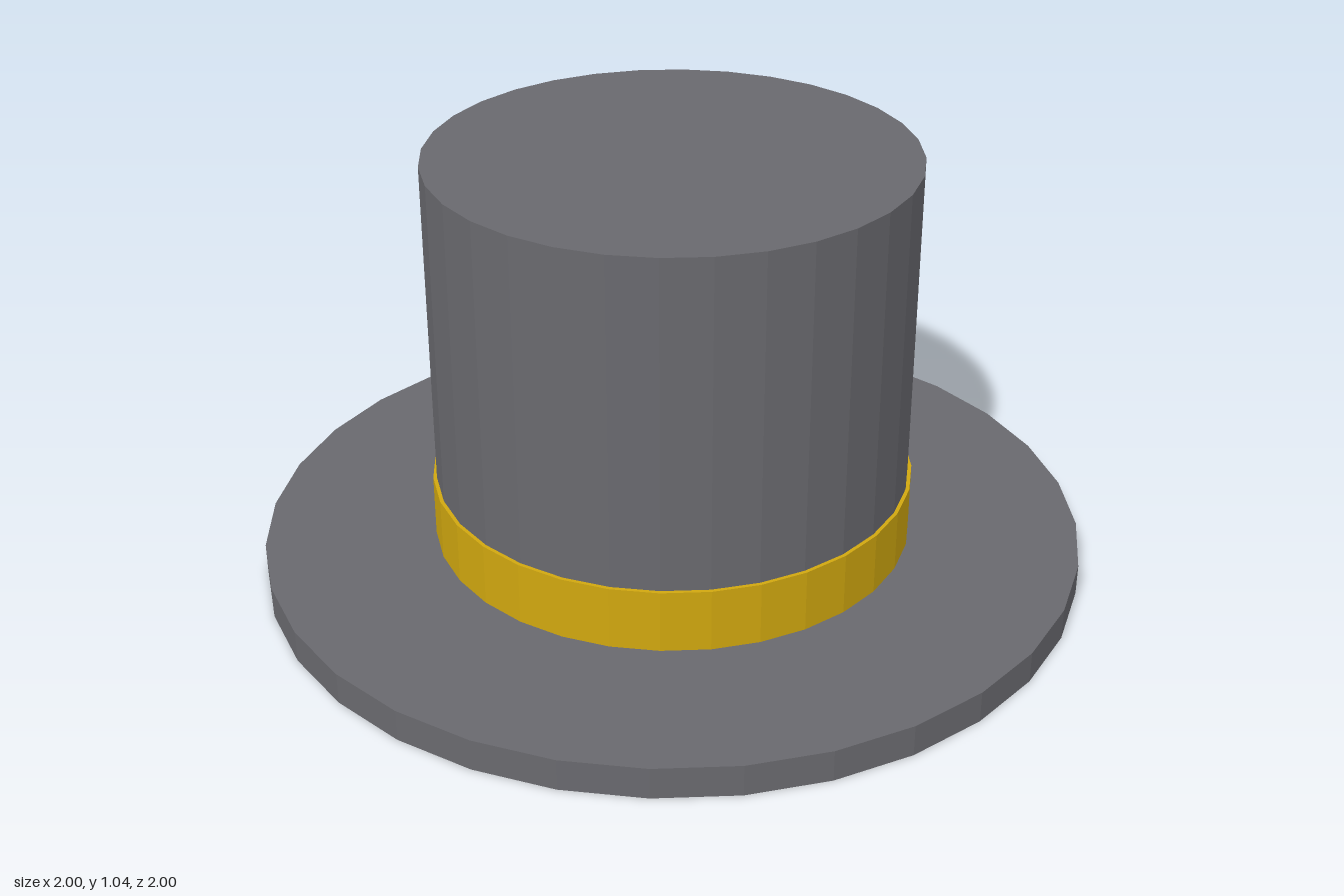
import * as THREE from 'three';

const SIDES = 32;

export function createModel() {
  const felt = new THREE.MeshStandardMaterial({ color: 0x69696e });
  felt.name = 'grey felt';
  felt.flatShading = true;
  const gold = new THREE.MeshStandardMaterial({ color: 0xd0a70f });
  gold.name = 'gold ribbon';
  gold.flatShading = true;

  const hat = new THREE.Group();
  hat.name = 'topHat';

  // Adds an upright disc or drum between two heights
  const addDrum = (name, radius, bottom, top, material) => {
    const geometry = new THREE.CylinderGeometry(radius, radius, top - bottom, SIDES);
    const mesh = new THREE.Mesh(geometry, material);
    mesh.name = name;
    mesh.position.y = (bottom + top) / 2;
    hat.add(mesh);
  };

  addDrum('brim', 1, 0, 0.077, felt);
  addDrum('crown', 0.577, 0.077, 1.038, felt);
  // Ribbon wrapped around the foot of the crown
  addDrum('band', 0.586, 0.077, 0.231, gold);

  return hat;
}
